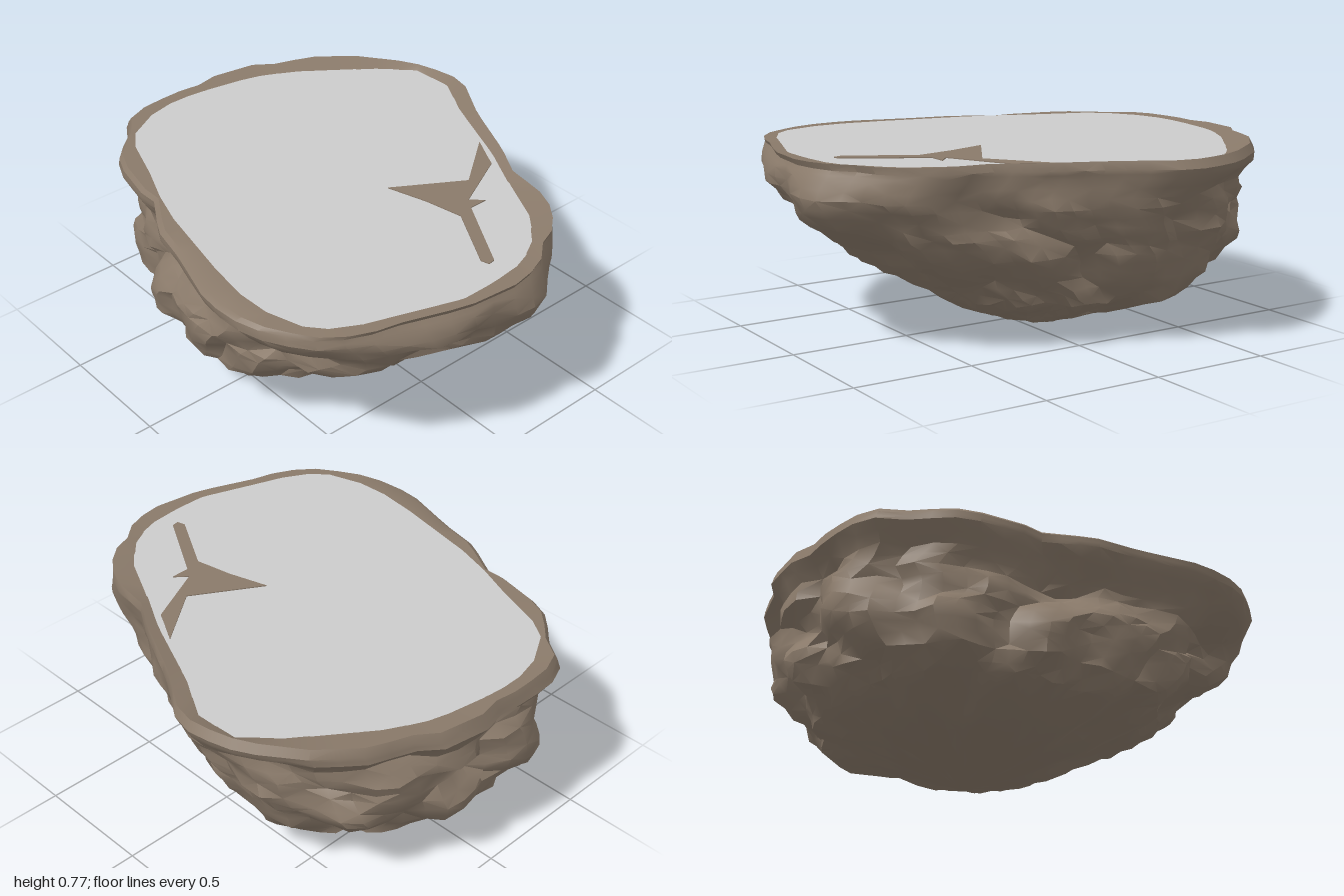
import * as THREE from 'three';
import { toCreasedNormals } from 'three/addons/utils/BufferGeometryUtils.js';

// Outlines as flat x, z pairs
const RIM = [-0.3, -0.905, -0.19, -0.89, 0.02, -0.76, 0.3, -0.63, 0.45, -0.54, 0.61, -0.52, 0.75, -0.46, 0.86, -0.33,
  0.88, -0.25, 0.96, -0.17, 0.995, -0.02, 0.97, 0.22, 0.88, 0.47, 0.85, 0.6, 0.78, 0.73, 0.6, 0.85, 0.44, 0.895,
  0.29, 0.89, 0.02, 0.81, -0.17, 0.77, -0.36, 0.66, -0.44, 0.665, -0.65, 0.62, -0.75, 0.57, -0.83, 0.46, -0.93, 0.42,
  -0.985, 0.28, -0.99, 0.1, -0.97, 0.02, -1, -0.07, -0.96, -0.3, -0.88, -0.4, -0.86, -0.52, -0.71, -0.7, -0.5, -0.85];
const CAP = [-0.44, -0.83, -0.25, -0.835, -0.07, -0.73, 0.28, -0.58, 0.5, -0.46, 0.7, -0.36, 0.84, -0.23, 0.89, -0.1,
  0.905, 0.05, 0.905, 0.2, 0.83, 0.42, 0.78, 0.57, 0.72, 0.68, 0.65, 0.74, 0.5, 0.785, 0.36, 0.79, 0.18, 0.765,
  -0.19, 0.69, -0.35, 0.64, -0.52, 0.57, -0.72, 0.5, -0.81, 0.44, -0.89, 0.3, -0.925, 0.15, -0.91, 0,
  -0.87, -0.23, -0.79, -0.4, -0.57, -0.7];
const RIDGE = [0.18, -0.6, 0.29, -0.54, 0.33, -0.52, 0.46, -0.26, 0.505, -0.31, 0.505, -0.23, 0.81, -0.05, 0.815, -0.02,
  0.78, -0.01, 0.52, -0.16, 0.36, -0.13, 0.19, -0.08, 0.36, -0.36];
const TOP = 0.757;

// Cross-sections of the boulder: y, xMin, xMax, zMin, zMax, roundness, lump size
const LEVELS = [
  [0.74, -0.985, 0.96, -0.905, 0.895, 0, 0],
  [0.705, -1, 0.98, -0.89, 0.89, 0, 0.01],
  [0.63, -0.95, 0.998, -0.83, 0.82, 0.08, 0.06],
  [0.55, -0.965, 0.965, -0.785, 0.77, 0.16, 0.11],
  [0.47, -0.985, 0.87, -0.76, 0.785, 0.25, 0.13],
  [0.39, -0.98, 0.74, -0.72, 0.785, 0.35, 0.13],
  [0.31, -0.94, 0.64, -0.68, 0.765, 0.45, 0.13],
  [0.23, -0.88, 0.51, -0.64, 0.725, 0.55, 0.13],
  [0.16, -0.81, 0.37, -0.59, 0.65, 0.65, 0.13],
  [0.1, -0.7, 0.27, -0.42, 0.5, 0.75, 0.12],
  [0.05, -0.55, 0.16, -0.28, 0.34, 0.85, 0.1],
  [0.018, -0.32, 0.04, -0.2, 0.12, 1, 0.05],
  [0, -0.1, -0.1, -0.14, -0.14, 1, 0],
];

function seeded(seed) {
  return () => (seed = (seed * 16807) % 2147483647) / 2147483647;
}

// Point where a ray from the middle at angle a meets an outline
function pointAt(outline, a) {
  const dx = Math.cos(a), dz = Math.sin(a), n = outline.length;
  let best = 0;
  for (let i = 0; i < n; i += 2) {
    const px = outline[i], pz = outline[i + 1];
    const ex = outline[(i + 2) % n] - px, ez = outline[(i + 3) % n] - pz;
    const det = dx * ez - dz * ex;
    if (Math.abs(det) < 1e-9) continue;
    const t = (px * ez - pz * ex) / det, s = (px * dz - pz * dx) / det;
    if (t > best && s >= 0 && s <= 1) best = t;
  }
  return [dx * best, dz * best];
}

function shapeFrom(outline) {
  const pts = [];
  for (let i = 0; i < outline.length; i += 2) pts.push(new THREE.Vector2(outline[i], -outline[i + 1]));
  return new THREE.Shape(pts);
}

// Rounded lumps with creased valleys between them, scattered over the sides
function lumpField(rand) {
  const seeds = [];
  for (let j = 0; j < 4; j++) {
    for (let i = 0; i < 13; i++) {
      const a = ((i + 0.5 * (j % 2) + 0.7 * rand()) / 13) * Math.PI * 2;
      seeds.push(new THREE.Vector3(Math.cos(a), 0.04 + j * 0.2 + rand() * 0.14, Math.sin(a)));
    }
  }
  const p = new THREE.Vector3();
  return (a, y) => {
    p.set(Math.cos(a), y, Math.sin(a));
    const d = Math.min(...seeds.map(s => (p.x - s.x) ** 2 + 2 * (p.y - s.y) ** 2 + (p.z - s.z) ** 2));
    return 0.5 - Math.min(1.5, d / 0.07);
  };
}

// Moves values linearly so that they span lo to hi
function fit(values, lo, hi) {
  const min = Math.min(...values), max = Math.max(...values);
  return values.map(v => lo + ((v - min) / (max - min)) * (hi - lo));
}

function boulderGeometry() {
  const N = 64, rand = seeded(4711), lump = lumpField(rand), pos = [], index = [];
  const angles = Array.from({ length: N }, (_, i) => (i / N) * Math.PI * 2);
  // Lip, from the edge of the flat top outwards
  for (const a of angles) {
    const [x, z] = pointAt(CAP, a);
    pos.push(x * 0.99, TOP - 0.001, z * 0.99);
  }
  for (const a of angles) {
    const [x, z] = pointAt(RIM, a);
    pos.push(x * 0.98, 0.764 - 0.012 * z, z * 0.98);
  }
  // Lumpy sides and underside, with one extra ring between each pair of levels
  const rings = LEVELS.length * 2 - 1;
  for (let r = 0; r < rings; r++) {
    const from = LEVELS[Math.floor(r / 2)], to = LEVELS[Math.ceil(r / 2)];
    const [y, x0, x1, z0, z1, round, size] = from.map((v, k) => (v + to[k]) / 2);
    const xs = [], zs = [], ys = [];
    for (const a of angles) {
      const [ox, oz] = pointAt(RIM, a), bump = lump(a, y) * size;
      const k = 1 + bump + (rand() - 0.5) * size * 0.15;
      xs.push(THREE.MathUtils.lerp(ox, Math.cos(a), round) * k);
      zs.push(THREE.MathUtils.lerp(oz, Math.sin(a), round) * k);
      ys.push(Math.max(0, y + (rand() - 0.5) * size * 0.16 - bump * round * 0.1));
    }
    const fx = fit(xs, x0, x1), fz = fit(zs, z0, z1);
    for (let i = 0; i < N; i++) pos.push(fx[i], ys[i], fz[i]);
  }
  for (let j = 0; j < rings + 1; j++) {
    for (let i = 0; i < N; i++) {
      const a = j * N + i, b = j * N + (i + 1) % N, c = a + N, d = b + N;
      if ((i + j) % 2) index.push(a, b, c, b, d, c);
      else index.push(a, b, d, a, d, c);
    }
  }
  const g = new THREE.BufferGeometry();
  g.setAttribute('position', new THREE.Float32BufferAttribute(pos, 3));
  g.setIndex(index);
  return toCreasedNormals(g, 0.6);
}

export function createModel() {
  const model = new THREE.Group();
  const stone = new THREE.MeshStandardMaterial({ color: 0x8a7a6a });
  const grey = new THREE.MeshStandardMaterial({ color: 0xcccccc, side: THREE.DoubleSide });
  const add = (name, geometry, material) => {
    const mesh = new THREE.Mesh(geometry, material);
    mesh.name = name;
    model.add(mesh);
    return mesh;
  };

  add('boulder', boulderGeometry(), stone);

  // Flat surface filling the lip
  add('flatTop', new THREE.ShapeGeometry(shapeFrom(CAP)).rotateX(-Math.PI / 2), grey).position.y = TOP;

  // Bit of stone breaking through the flat surface
  const ridge = new THREE.ExtrudeGeometry(shapeFrom(RIDGE), { depth: 0.006, bevelEnabled: false });
  add('stoneRidge', ridge.rotateX(-Math.PI / 2), stone).position.y = TOP - 0.002;

  return model;
}
